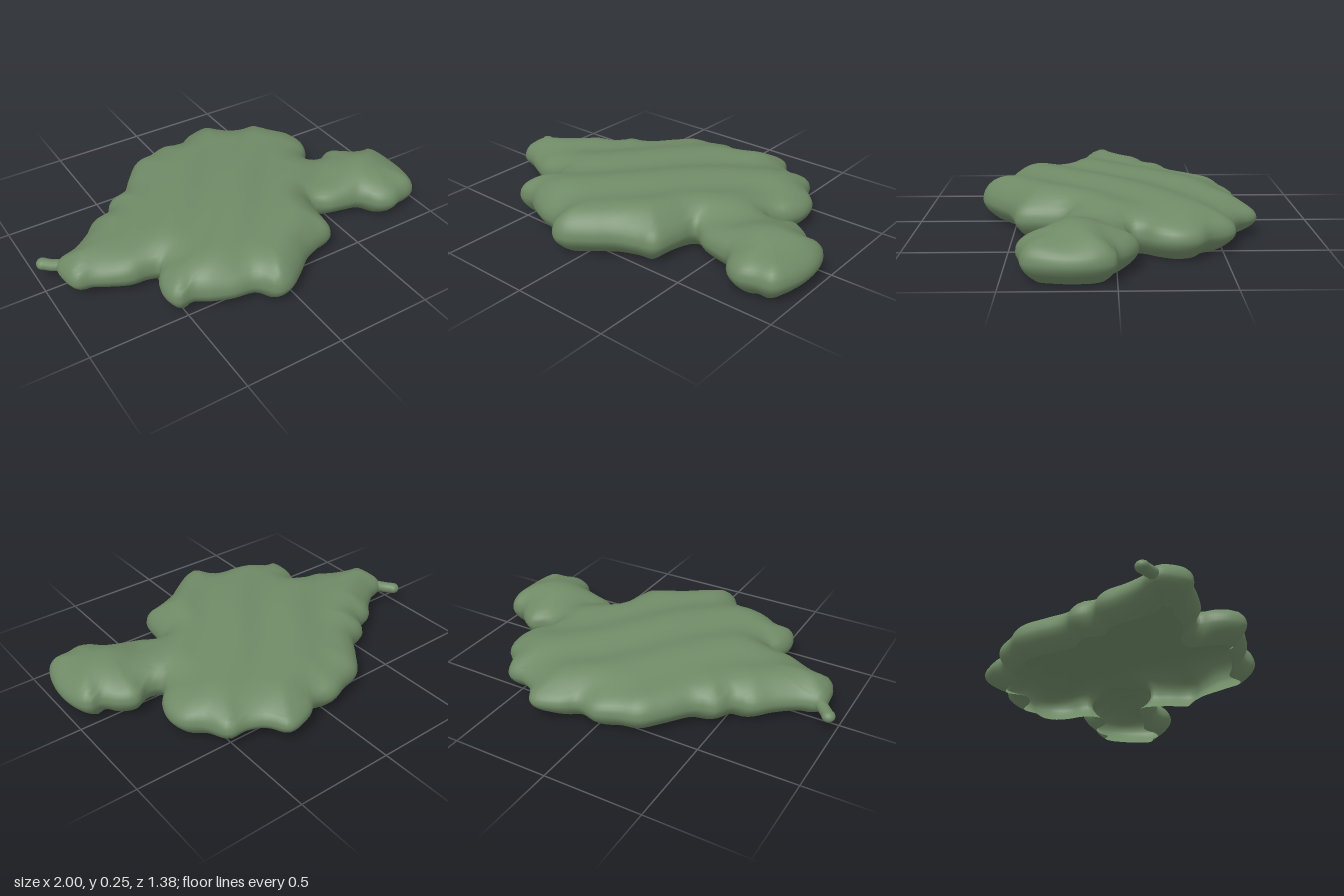
import * as THREE from 'three';
import { mergeGeometries, mergeVertices } from 'three/addons/utils/BufferGeometryUtils.js';

// Plan outline of the patch as x, z pairs: left, back, right, front
const OUTLINE = [
  -.92, -.03, -.82, -.07, -.72, -.14, -.64, -.22, -.55, -.24, -.5, -.32, -.41, -.35, -.32, -.46,
  -.23, -.56, -.13, -.59, -.02, -.63, .08, -.61, .16, -.66, .3, -.69, .37, -.6, .45, -.56,
  .54, -.55, .6, -.44, .67, -.37, .69, -.27, .66, -.18, .61, -.12, .6, -.07, .66, -.06,
  .74, -.1, .82, -.06, .88, 0, .94, 0, .98, .06, 1, .18, .98, .32, .94, .4,
  .85, .42, .77, .44, .7, .41, .64, .33, .57, .31, .48, .29, .39, .24, .37, .33,
  .34, .47, .25, .5, .15, .54, .06, .61, -.05, .68, -.12, .68, -.19, .6, -.3, .58,
  -.4, .54, -.47, .5, -.55, .5, -.58, .42, -.56, .33, -.52, .27, -.58, .25, -.65, .25,
  -.75, .21, -.83, .17, -.9, .15, -.93, .05,
];
const N = 240;
const MID = 0.1; // height of the widest line
const SHOULDER = 0.035; // where the rounded edge strip meets the top
const BODY_CENTRE = new THREE.Vector2(0.05, -0.05);
const LOBE_CENTRE = new THREE.Vector2(0.74, 0.17);
// The two notches where the side lobe joins the body
const BACK_NOTCH = new THREE.Vector2(0.6, -0.07);
const FRONT_NOTCH = new THREE.Vector2(0.39, 0.24);

const gauss = (x, z, cx, cz, r) => Math.exp(-((x - cx) ** 2 + (z - cz) ** 2) / (r * r));

// Full height of the top: a gentle swell, diagonal ridges, dips at the neck and back tip
function topHeight(x, z) {
  return 0.203 + 0.041 * gauss(x, z, 0.03, 0.18, 0.6) - 0.025 * gauss(x, z, 0.52, 0.15, 0.13)
    + 0.012 * gauss(x, z, 0.77, 0.18, 0.16) - 0.025 * gauss(x, z, 0.3, -0.66, 0.12)
    + 0.01 * Math.sin((x + z) / Math.SQRT2 * 21 + 0.6 * Math.sin(4 * (x - z)));
}

// How far the open rim is tucked in: more under the back tip and the left end
const rimInset = p => 0.08 + 0.08 * gauss(p.x, p.y, 0.38, -0.62, 0.16) + 0.04 * gauss(p.x, p.y, -0.92, 0.05, 0.2);

// Closed strips between rings of equal length, listed from the outside bottom upwards
function loft(rings) {
  const n = rings[0].length, index = [];
  for (let j = 0; j < rings.length - 1; j++) {
    for (let i = 0; i < n; i++) {
      const a = j * n + i, c = j * n + (i + 1) % n;
      index.push(a, a + n, c, c, a + n, c + n);
    }
  }
  return new THREE.BufferGeometry().setFromPoints(rings.flat()).setIndex(index);
}

function patchGeometry() {
  const points = [];
  for (let i = 0; i < OUTLINE.length; i += 2) points.push(new THREE.Vector3(OUTLINE[i], 0, OUTLINE[i + 1]));
  const curve = new THREE.CatmullRomCurve3(points, true);
  const edge = curve.getSpacedPoints(N).slice(0, N).map(p => new THREE.Vector2(p.x, p.z));

  // Inward direction, smoothed over neighbouring samples
  const inward = edge.map((_, i) => {
    const a = edge[(i + N - 6) % N], b = edge[(i + 6) % N];
    return new THREE.Vector2(a.y - b.y, b.x - a.x).normalize();
  });
  const inset = (i, d) => edge[i].clone().addScaledVector(inward[i], d);
  const distances = p => edge.map(e => e.distanceTo(p));

  // Lift a plan point onto the rounded top
  const onTop = p => {
    const k = 1 - Math.min(Math.min(...distances(p)) / (0.2 - 0.03 * p.y), 1);
    return new THREE.Vector3(p.x, MID + (topHeight(p.x, p.y) - MID) * Math.sqrt(1 - k * k), p.y);
  };

  // Undercut side from the open rim, then the rounded shoulder
  const side = [];
  for (let t = 6; t > 0; t--) {
    side.push(edge.map((e, i) => {
      const p = inset(i, rimInset(e) * (t / 6) ** 1.8);
      return new THREE.Vector3(p.x, MID * (1 - t / 6), p.y);
    }));
  }
  for (const d of [0, 0.004, 0.012, 0.023, SHOULDER]) side.push(edge.map((_, i) => onTop(inset(i, d))));

  // Split the shoulder loop across the neck into body and lobe
  const shoulder = edge.map((_, i) => inset(i, SHOULDER));
  const nearest = p => {
    const d = distances(p);
    return d.indexOf(Math.min(...d));
  };
  const back = nearest(BACK_NOTCH), front = nearest(FRONT_NOTCH);
  const gate = [];
  for (let i = 1; i < 14; i++) gate.push(shoulder[back].clone().lerp(shoulder[front], i / 14));
  const lobeLoop = [...shoulder.slice(back, front + 1), ...gate.toReversed()];
  const bodyLoop = [...shoulder.slice(front), ...shoulder.slice(0, back + 1), ...gate];

  // Top made of rings shrinking to a centre
  const cap = (loop, centre, steps) => {
    const rings = [];
    for (let r = 0; r <= steps; r++) rings.push(loop.map(p => onTop(p.clone().lerp(centre, r / steps))));
    return loft(rings);
  };
  const geometry = mergeVertices(mergeGeometries([
    loft(side), cap(bodyLoop, BODY_CENTRE, 30), cap(lobeLoop, LOBE_CENTRE, 14),
  ]), 1e-5);
  geometry.computeVertexNormals();
  return geometry;
}

export function createModel() {
  const group = new THREE.Group();
  group.name = 'leafyPatch';
  const green = new THREE.MeshStandardMaterial({ color: 0x6f8a66, side: THREE.DoubleSide });
  green.name = 'mossGreen';

  const add = (name, geometry) => {
    const mesh = new THREE.Mesh(geometry, green);
    mesh.name = name;
    group.add(mesh);
    return mesh;
  };

  // Hollow main shell, open underneath
  add('patchShell', patchGeometry());

  // Small bud on the side, with its stem
  const stem = new THREE.CatmullRomCurve3([
    new THREE.Vector3(-0.89, 0.11, -0.01), new THREE.Vector3(-0.93, 0.1, -0.045), new THREE.Vector3(-0.967, 0.097, -0.085),
  ]);
  add('budStem', new THREE.TubeGeometry(stem, 8, 0.029, 14));
  const bud = add('bud', new THREE.SphereGeometry(0.033, 16, 12));
  bud.scale.y = 0.85;
  bud.position.set(-0.967, 0.097, -0.085);

  return group;
}
